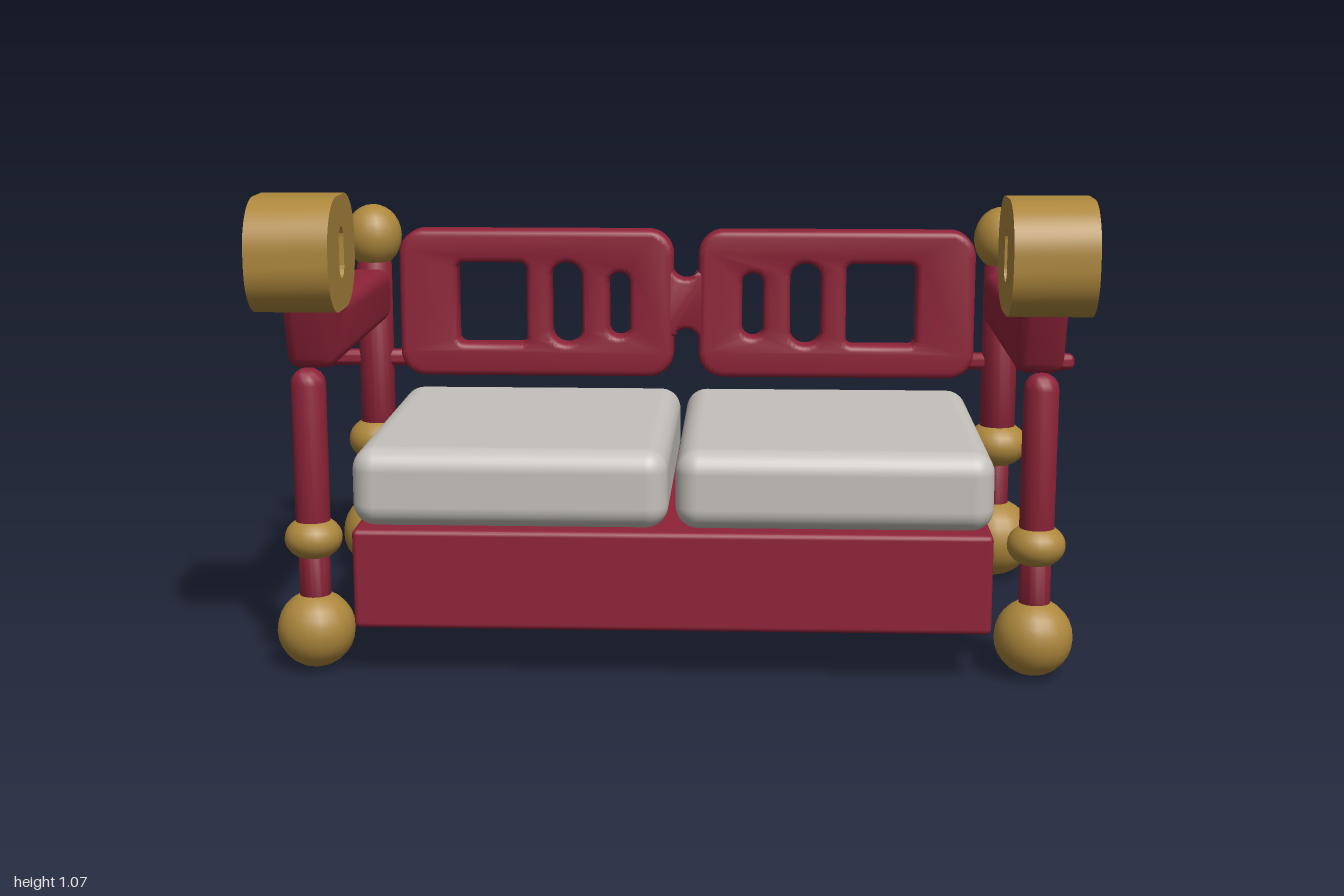
import * as THREE from 'three';
import { toCreasedNormals } from 'three/addons/utils/BufferGeometryUtils.js';
import { RoundedBoxGeometry } from 'three/addons/geometries/RoundedBoxGeometry.js';

const mat = (name, color) => {
  const m = new THREE.MeshStandardMaterial({ color });
  m.name = name;
  return m;
};

// Rounded rectangle drawn onto a Shape or Path
function roundRect(path, x0, y0, x1, y1, r) {
  path.moveTo(x0 + r, y0);
  path.lineTo(x1 - r, y0);
  path.absarc(x1 - r, y0 + r, r, -Math.PI / 2, 0, false);
  path.lineTo(x1, y1 - r);
  path.absarc(x1 - r, y1 - r, r, 0, Math.PI / 2, false);
  path.lineTo(x0 + r, y1);
  path.absarc(x0 + r, y1 - r, r, Math.PI / 2, Math.PI, false);
  path.lineTo(x0, y0 + r);
  path.absarc(x0 + r, y0 + r, r, Math.PI, Math.PI * 1.5, false);
  return path;
}

// Extrusion centred on its depth, with the outline kept at full size
function slab(shape, depth, bevel) {
  const g = new THREE.ExtrudeGeometry(shape, {
    depth: depth - 2 * bevel, curveSegments: 8, bevelEnabled: bevel > 0,
    bevelSize: bevel, bevelThickness: bevel, bevelOffset: -bevel, bevelSegments: 3,
  });
  g.translate(0, 0, bevel - depth / 2);
  return toCreasedNormals(g, 0.6);
}

// Upright post with rounded ends
function post(radius, y0, y1, round) {
  const p = [new THREE.Vector2(0, y0)];
  for (let i = 0; i <= 4; i++) {
    const a = (i / 4) * Math.PI / 2;
    p.push(new THREE.Vector2(radius - round + round * Math.sin(a), y0 + round - round * Math.cos(a)));
  }
  for (let i = 0; i <= 4; i++) {
    const a = (i / 4) * Math.PI / 2;
    p.push(new THREE.Vector2(Math.max(0, radius - round + round * Math.cos(a)), y1 - round + round * Math.sin(a)));
  }
  p.push(new THREE.Vector2(0, y1));
  return toCreasedNormals(new THREE.LatheGeometry(p, 20), 0.8);
}

export function createModel() {
  const model = new THREE.Group();
  model.name = 'sofa';
  const red = mat('crimson frame', 0x8e2338);
  const gold = mat('antique gold', 0xad873c);
  const grey = mat('pale grey cushion', 0xc4c0ba);

  const add = (name, geometry, material, x = 0, y = 0, z = 0) => {
    const mesh = new THREE.Mesh(geometry, material);
    mesh.name = name;
    mesh.position.set(x, y, z);
    model.add(mesh);
    return mesh;
  };
  const ball = (name, x, y, z, r, ry = r) =>
    add(name, new THREE.SphereGeometry(r, 20, 14), gold, x, y, z).scale.set(1, ry / r, 1);

  // Seat base
  add('seatBase', new RoundedBoxGeometry(1.41, 0.225, 0.856, 2, 0.012), red, 0, 0.23, 0.031);

  // Arm side profile, drawn as (z, y)
  const arm = new THREE.Shape();
  arm.moveTo(-0.35, 0.68);
  arm.lineTo(0.315, 0.68);
  arm.quadraticCurveTo(0.34, 0.68, 0.35, 0.705);
  arm.lineTo(0.425, 0.915);
  arm.bezierCurveTo(0.44, 0.96, 0.4, 1.01, 0.35, 1.015);
  arm.bezierCurveTo(0.3, 1.02, 0.27, 1.0, 0.258, 0.965);
  arm.lineTo(0.228, 0.872);
  arm.quadraticCurveTo(0.205, 0.81, 0.135, 0.81);
  arm.lineTo(-0.35, 0.81);
  arm.quadraticCurveTo(-0.403, 0.81, -0.403, 0.745);
  arm.quadraticCurveTo(-0.403, 0.68, -0.35, 0.68);

  // Scroll block with a slot through it
  const scroll = roundRect(new THREE.Shape(), 0.258, 0.826, 0.556, 1.076, 0.11);
  scroll.holes.push(roundRect(new THREE.Path(), 0.38, 0.895, 0.432, 1.007, 0.0255));

  const LEG_X = 0.807, FRONT_Z = 0.373, BACK_Z = -0.455;

  for (const [side, s] of [['left', 1], ['right', -1]]) {
    const x = s * LEG_X;

    // Cushion
    add(side + 'Cushion', new RoundedBoxGeometry(0.7, 0.178, 0.79, 4, 0.05), grey, s * 0.358, 0.431, 0.055);

    // Front leg
    ball(side + 'FrontFoot', x, 0.091, FRONT_Z, 0.088);
    add(side + 'FrontLowerPost', post(0.035, 0.12, 0.32, 0.005), red, x, 0, FRONT_Z);
    ball(side + 'FrontCollar', x, 0.303, FRONT_Z, 0.065, 0.05);
    add(side + 'FrontUpperPost', post(0.039, 0.3, 0.69, 0.036), red, x, 0, FRONT_Z);

    // Back leg
    ball(side + 'BackFoot', x, 0.101, BACK_Z, 0.1);
    add(side + 'BackLowerPost', post(0.033, 0.12, 0.36, 0.005), red, x, 0, BACK_Z);
    ball(side + 'BackCollar', x, 0.351, BACK_Z, 0.078, 0.06);
    add(side + 'BackUpperPost', post(0.045, 0.36, 0.83, 0.02), red, x, 0, BACK_Z);
    ball(side + 'Finial', x, 0.885, BACK_Z, 0.073, 0.081);

    // Rod sticking out past the back post
    const rod = post(0.022, -0.15, 0.15, 0.018);
    rod.rotateZ(Math.PI / 2);
    add(side + 'Rod', rod, red, s * 0.85, 0.567, BACK_Z);

    // Arm and scroll
    add(side + 'Arm', slab(arm, 0.107, 0.025), red, x).rotation.y = -Math.PI / 2;
    add(side + 'Scroll', slab(scroll, 0.18, 0), gold, x).rotation.y = -Math.PI / 2;

    // Back panel with a window and two slots
    const span = (a, b) => (s > 0 ? [a, b] : [-b, -a]);
    const rect = (path, a, b, y0, y1, r) => {
      const [x0, x1] = span(a, b);
      return roundRect(path, x0, y0, x1, y1, r);
    };
    const panel = rect(new THREE.Shape(), 0.032, 0.738, 0.525, 0.905, 0.065);
    panel.holes.push(
      rect(new THREE.Path(), 0.41, 0.588, 0.61, 0.82, 0.018),
      rect(new THREE.Path(), 0.267, 0.346, 0.61, 0.82, 0.038),
      rect(new THREE.Path(), 0.144, 0.198, 0.63, 0.795, 0.026),
    );
    add(side + 'BackPanel', slab(panel, 0.075, 0.016), red, 0, 0, BACK_Z);
  }

  // Pinched neck joining the two back panels
  const neck = new THREE.Shape();
  neck.moveTo(-0.07, 0.63);
  neck.lineTo(-0.033, 0.63);
  neck.absarc(0, 0.615, 0.036, Math.PI * 0.87, Math.PI * 0.13, true);
  neck.lineTo(0.07, 0.63);
  neck.lineTo(0.07, 0.8);
  neck.lineTo(0.033, 0.8);
  neck.absarc(0, 0.815, 0.036, -Math.PI * 0.13, -Math.PI * 0.87, true);
  neck.lineTo(-0.07, 0.8);
  add('backNeck', slab(neck, 0.07, 0.012), red, 0, 0, BACK_Z);

  return model;
}
